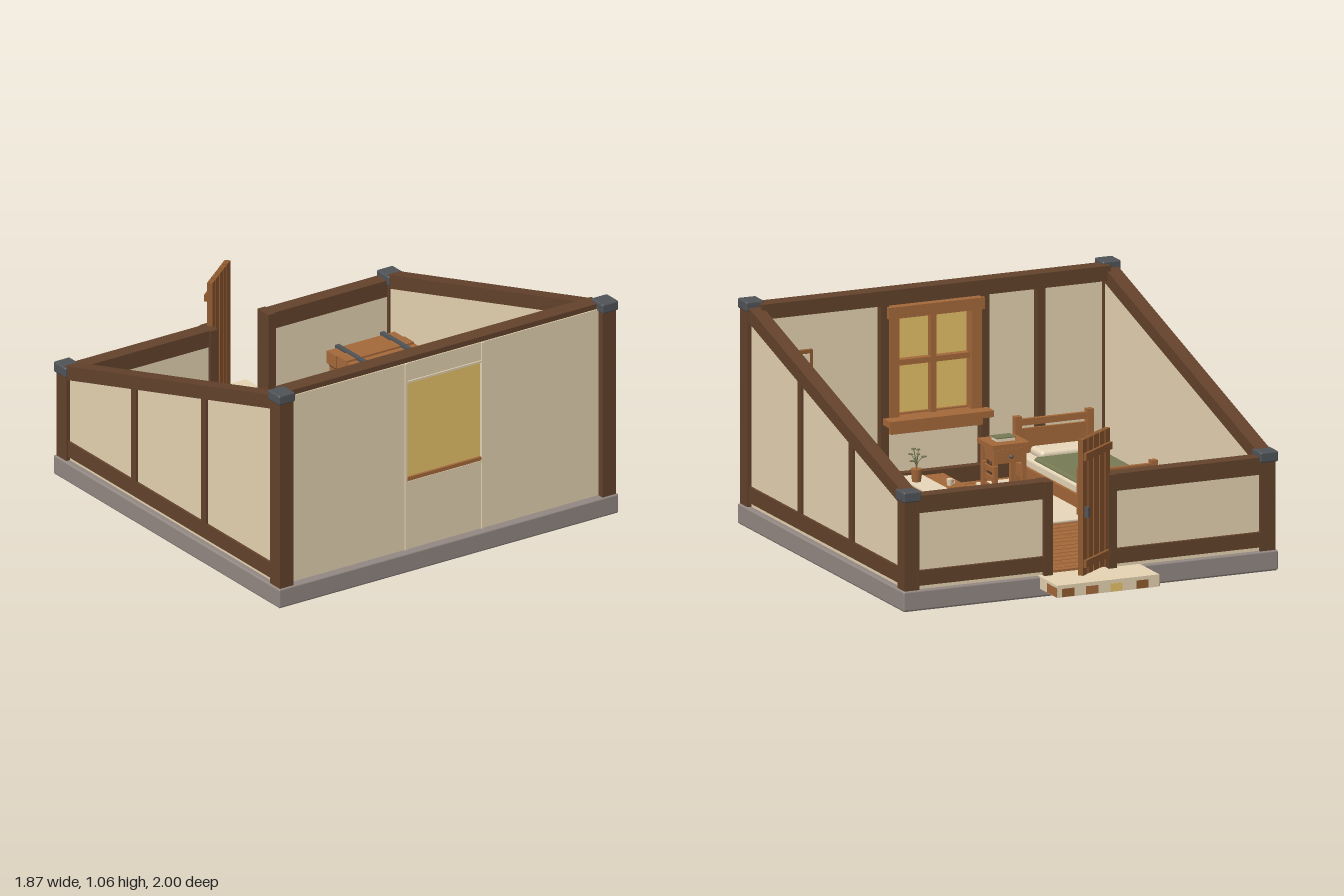
import * as THREE from 'three';
import { RoundedBoxGeometry } from 'three/addons/geometries/RoundedBoxGeometry.js';

const mat = (name, color, side = THREE.FrontSide) => {
  const m = new THREE.MeshStandardMaterial({ color, side });
  m.name = name;
  return m;
};

export function createModel() {
  const root = new THREE.Group();
  root.name = 'cottage';
  const beam = mat('dark timber', 0x63422c), wood = mat('warm wood', 0xa4683a);
  const plaster = mat('plaster', 0xe5d3b2), stone = mat('stone', 0x938882);
  const metal = mat('dark iron', 0x505357), green = mat('moss green', 0x777a54, THREE.DoubleSide);
  const glass = mat('amber glass', 0xe6c168), under = mat('underside', 0x76736d);
  const doorWood = mat('door wood', 0x8f5a30), linen = mat('linen', 0xead9bb);

  const group = (name, parent = root) => {
    const g = new THREE.Group();
    g.name = name;
    parent.add(g);
    return g;
  };
  const add = (name, geo, m, parent = root, x = 0, y = 0, z = 0) => {
    const o = new THREE.Mesh(geo, m);
    o.name = name;
    o.position.set(x, y, z);
    parent.add(o);
    return o;
  };
  // Box given by its limits; r > 0 rounds the edges
  const box = (name, m, x0, x1, y0, y1, z0, z1, parent = root, r = 0) => {
    const s = [x1 - x0, y1 - y0, z1 - z0];
    const geo = r ? new RoundedBoxGeometry(...s, 2, r) : new THREE.BoxGeometry(...s);
    return add(name, geo, m, parent, (x0 + x1) / 2, (y0 + y1) / 2, (z0 + z1) / 2);
  };
  // Slab across x from a profile of [z, y] points
  const slab = (name, m, pts, x0, x1) => {
    const geo = new THREE.ExtrudeGeometry(new THREE.Shape(pts.map(p => new THREE.Vector2(...p))),
      { depth: x1 - x0, bevelEnabled: false });
    return add(name, geo.rotateY(-Math.PI / 2), m, root, x1);
  };

  // Foundation
  box('foundation', stone, -0.935, 0.935, 0.002, 0.095, -0.81, 0.998, root, 0.008);
  box('foundationUnderside', under, -0.928, 0.928, 0, 0.004, -0.803, 0.991);

  // Plank floor, joints staggered row by row
  const floor = group('floor');
  box('subfloor', beam, -0.87, 0.87, 0.09, 0.1, -0.76, 0.93, floor);
  box('threshold', wood, -0.09, 0.19, 0.096, 0.108, -0.77, -0.736, floor);
  for (let i = 0; i < 27; i++) {
    const z = -0.73 + i * 0.0605;
    const start = i % 2 ? -0.89 : -1.13;
    for (let x = start; x < 0.86; x += 0.48)
      box('floorPlank', wood, Math.max(x, -0.86) + 0.002, Math.min(x + 0.478, 0.86), 0.1, 0.108, z, z + 0.052, floor);
  }

  // Corner posts with iron caps, side walls plastered over on the inside
  const top = z => 1.03 - 0.285 * (0.91 - z);
  for (const s of [-1, 1]) {
    const span = (a, b) => s > 0 ? [a, b] : [-b, -a];
    const [p0, p1] = span(0.85, 0.925), [c0, c1] = span(0.845, 0.935);
    box('frontPost', beam, p0, p1, 0.09, 1.02, 0.91, 0.99);
    box('backPost', beam, p0, p1, 0.09, 0.52, -0.8, -0.72);
    box('frontCap', metal, c0, c1, 1.01, 1.057, 0.902, 0.998, root, 0.008);
    box('backCap', metal, c0, c1, 0.51, 0.56, -0.812, -0.715, root, 0.008);
    const [w0, w1] = span(0.859, 0.905);
    slab('sidePanel', plaster, [[-0.75, 0.092], [0.93, 0.092], [0.93, top(0.93) - 0.03], [-0.75, top(-0.75) - 0.03]], w0, w1);
    const [b0, b1] = span(0.853, 0.922), [t0, t1] = span(0.885, 0.917);
    slab('slopedBeam', beam, [[-0.74, top(-0.74) - 0.068], [0.93, top(0.93) - 0.068], [0.93, top(0.93)], [-0.74, top(-0.74)]], b0, b1);
    box('sideSill', beam, t0, t1 + 0, 0.115, 0.19, -0.73, 0.92);
    for (const z of [0.365, -0.195])
      box('sideStud', beam, t0, t1, 0.15, top(z) - 0.04, z - 0.021, z + 0.021);
  }

  // Front wall with slim battens beside the window bay
  box('frontBeam', beam, -0.87, 0.87, 0.975, 1.045, 0.87, 0.95);
  box('frontSill', beam, -0.86, 0.86, 0.108, 0.18, 0.875, 0.94);
  for (const s of [-1, 1]) {
    box('frontPanel', plaster, s > 0 ? 0.21 : -0.852, s > 0 ? 0.852 : -0.205, 0.092, 1.02, 0.925, 0.956);
    box('windowBatten', plaster, s * 0.21 - 0.006, s * 0.21 + 0.006, 0.092, 1.02, 0.92, 0.963);
    box('windowStud', beam, s * 0.25 - 0.02, s * 0.25 + 0.02, 0.11, 0.98, 0.885, 0.925);
  }
  box('frontStud', beam, -0.55, -0.51, 0.11, 0.98, 0.885, 0.925);
  box('panelAboveWindow', plaster, -0.205, 0.21, 0.922, 1.02, 0.92, 0.956);
  box('panelBelowWindow', plaster, -0.205, 0.21, 0.092, 0.43, 0.92, 0.956);
  for (const y of [0.922, 0.424])
    box('windowBatten', plaster, -0.205, 0.21, y, y + 0.01, 0.94, 0.962);

  // Window
  const win = group('window');
  box('glass', glass, -0.205, 0.213, 0.445, 0.922, 0.938, 0.947, win);
  box('outerSill', wood, -0.204, 0.204, 0.434, 0.452, 0.92, 0.959, win);
  for (const x of [-0.205, 0.205]) box('jamb', wood, x - 0.025, x + 0.025, 0.43, 0.95, 0.88, 0.936, win);
  box('mullion', wood, -0.013, 0.013, 0.44, 0.94, 0.9, 0.936, win);
  box('crossbar', wood, -0.2, 0.2, 0.68, 0.706, 0.9, 0.936, win);
  box('innerHead', wood, -0.24, 0.24, 0.91, 0.965, 0.865, 0.936, win);
  box('innerSill', wood, -0.26, 0.26, 0.415, 0.445, 0.81, 0.936, win);
  box('sillApron', wood, -0.23, 0.23, 0.37, 0.415, 0.865, 0.925, win);

  // Back wall in two halves around the doorway
  for (const [x0, x1, j] of [[-0.86, -0.09, -0.11], [0.19, 0.86, 0.21]]) {
    box('backPanel', plaster, x0, x1, 0.092, 0.48, -0.785, -0.736);
    box('backBeam', beam, x0, x1, 0.455, 0.535, -0.802, -0.73);
    box('backSill', beam, x0, x1, 0.115, 0.185, -0.802, -0.76);
    box('doorJamb', beam, j - 0.021, j + 0.021, 0.09, 0.535, -0.81, -0.722);
  }

  // Open door of spaced planks, built along +x from its hinge
  const door = group('door');
  door.position.set(-0.1, 0, -0.772);
  door.rotation.y = 0.66;
  for (let i = 0; i < 5; i++)
    box('doorPlank', doorWood, i * 0.055, i * 0.055 + 0.046, 0.115, 0.75, -0.013, 0.013, door);
  for (const y of [0.17, 0.67]) box('doorBatten', doorWood, 0.004, 0.262, y - 0.017, y + 0.017, -0.028, -0.012, door);
  box('doorHandle', metal, 0.236, 0.252, 0.385, 0.435, -0.034, -0.012, door);

  // Doorstep with worn patches
  const step = group('doorstep');
  box('stepSlab', plaster, -0.255, 0.255, 0.04, 0.097, -0.998, -0.768, step);
  for (const s of [-1, 1]) box('stepPatch', wood, s * 0.255 - 0.002, s * 0.255 + 0.002, 0.042, 0.085, -0.998, -0.89, step);
  for (const [x, m] of [[-0.2, doorWood], [-0.07, glass], [0.05, wood], [0.17, doorWood]])
    box('stepPatch', m, x, x + 0.06, 0.042, 0.08, -1, -0.996, step);

  // Rug and bed
  box('rug', linen, -0.72, -0.165, 0.107, 0.12, 0.005, 0.81, root, 0.005);
  const bed = group('bed');
  for (const [z, h] of [[0.065, 0.34], [0.762, 0.42]]) {
    for (const x of [-0.712, -0.353]) box('bedPost', wood, x - 0.016, x + 0.016, 0.108, h, z - 0.016, z + 0.016, bed);
    box('bedRail', wood, -0.71, -0.355, h - 0.045, h - 0.015, z - 0.01, z + 0.01, bed);
    box('bedBoard', wood, -0.71, -0.355, 0.16, h - 0.06, z - 0.007, z + 0.007, bed);
  }
  for (const x of [-0.719, -0.346]) box('bedSide', wood, x - 0.007, x + 0.007, 0.15, 0.21, 0.07, 0.76, bed);
  box('mattress', linen, -0.712, -0.353, 0.18, 0.25, 0.075, 0.75, bed, 0.015);
  box('blanket', green, -0.708, -0.362, 0.2, 0.265, 0.095, 0.61, bed, 0.018);
  box('pillow', linen, -0.67, -0.4, 0.24, 0.285, 0.605, 0.735, bed, 0.02);

  // Four-legged table helper
  const table = (name, x0, x1, z0, z1, h, leg) => {
    const g = group(name);
    box('tableTop', wood, x0, x1, h - 0.022, h, z0, z1, g);
    box('apron', wood, x0 + 0.02, x1 - 0.02, h - 0.055, h - 0.022, z0 + 0.02, z1 - 0.02, g);
    for (const x of [x0 + 0.012, x1 - 0.012 - leg]) for (const z of [z0 + 0.012, z1 - 0.012 - leg])
      box('leg', wood, x, x + leg, 0.106, h - 0.02, z, z + leg, g);
    return g;
  };

  // Dining table with runner, cup and saucer
  const dining = table('diningTable', 0.305, 0.645, -0.13, 0.13, 0.37, 0.026);
  box('runner', linen, 0.415, 0.535, 0.369, 0.376, -0.165, 0.137, dining);
  for (const z of [-0.165, 0.132]) box('runnerDrop', linen, 0.415, 0.535, 0.32, 0.374, z, z + 0.006, dining);
  add('cup', new THREE.CylinderGeometry(0.015, 0.012, 0.03, 12), linen, dining, 0.375, 0.386, -0.09);
  add('cupHandle', new THREE.TorusGeometry(0.009, 0.003, 5, 10), linen, dining, 0.358, 0.386, -0.09);

  // Potted plant with curved stems and leaves
  const plant = group('pottedPlant', dining);
  plant.position.set(0.49, 0.375, 0.02);
  add('pot', new THREE.CylinderGeometry(0.028, 0.02, 0.06, 12), wood, plant, 0, 0.03, 0);
  for (let i = 0; i < 7; i++) {
    const a = i * 2.4, r = 0.015 + 0.005 * i, h = 0.155 - 0.01 * i, c = Math.cos(a), s = Math.sin(a);
    const curve = new THREE.QuadraticBezierCurve3(new THREE.Vector3(0, 0.055, 0),
      new THREE.Vector3(0, 0.1, 0), new THREE.Vector3(c * r, h, s * r));
    add('stem', new THREE.TubeGeometry(curve, 5, 0.0025, 5), green, plant);
    add('leaf', new THREE.SphereGeometry(0.011, 6, 4).scale(1.3, 0.4, 0.8), green, plant, c * r, h, s * r).rotation.y = -a;
  }

  // Two chairs facing the table
  for (const [x, turn] of [[0.2, 0], [0.755, Math.PI]]) {
    const chair = group('chair');
    chair.position.set(x, 0, -0.015);
    chair.rotation.y = turn;
    box('seat', wood, -0.068, 0.07, 0.245, 0.265, -0.07, 0.07, chair);
    for (const z of [-0.06, 0.06]) {
      box('backLeg', wood, -0.07, -0.052, 0.106, 0.43, z - 0.009, z + 0.009, chair);
      box('frontLeg', wood, 0.046, 0.064, 0.106, 0.25, z - 0.009, z + 0.009, chair);
      box('stretcher', wood, -0.06, 0.055, 0.165, 0.178, z - 0.005, z + 0.005, chair);
    }
    for (const y of [0.31, 0.353, 0.396]) box('backSlat', wood, -0.066, -0.056, y, y + 0.024, -0.06, 0.06, chair);
  }

  // Trunk with iron straps
  const trunk = group('trunk');
  box('trunkBody', wood, 0.42, 0.778, 0.108, 0.285, -0.57, -0.35, trunk);
  box('trunkSeam', beam, 0.418, 0.78, 0.282, 0.345, -0.572, -0.348, trunk);
  for (let i = 0; i < 3; i++)
    box('lidPlank', wood, 0.412, 0.785, 0.292, i === 1 ? 0.36 : 0.354, -0.58 + i * 0.081, -0.504 + i * 0.081, trunk);
  for (const x of [0.475, 0.722]) box('strap', metal, x - 0.011, x + 0.011, 0.108, 0.367, -0.588, -0.338, trunk);
  box('latch', metal, 0.585, 0.612, 0.255, 0.31, -0.596, -0.57, trunk);

  // Nightstand with drawer and book
  const night = table('nightstand', -0.33, -0.145, 0.575, 0.745, 0.345, 0.02);
  box('drawer', wood, -0.305, -0.17, 0.255, 0.32, 0.583, 0.72, night);
  add('knob', new THREE.SphereGeometry(0.01, 8, 6), metal, night, -0.237, 0.287, 0.572);
  box('pages', linen, -0.283, -0.193, 0.345, 0.359, 0.632, 0.694, night);
  box('bookCover', green, -0.285, -0.19, 0.359, 0.364, 0.63, 0.696, night);

  // Console with radio, jar and a low shelf
  const con = table('console', 0.505, 0.79, 0.715, 0.855, 0.325, 0.022);
  box('shelf', wood, 0.52, 0.775, 0.165, 0.18, 0.725, 0.845, con);
  box('shelfBox', green, 0.53, 0.595, 0.18, 0.265, 0.735, 0.835, con);
  box('radioBody', metal, 0.58, 0.755, 0.325, 0.42, 0.735, 0.81, con);
  box('radioLid', wood, 0.575, 0.76, 0.42, 0.432, 0.73, 0.815, con);
  box('speaker', beam, 0.59, 0.66, 0.34, 0.405, 0.731, 0.736, con);
  for (const x of [0.69, 0.725])
    add('dial', new THREE.CylinderGeometry(0.011, 0.011, 0.01, 10).rotateX(Math.PI / 2), stone, con, x, 0.36, 0.731);
  add('aerial', new THREE.CylinderGeometry(0.0025, 0.0025, 0.12, 5), metal, con, 0.7, 0.445, 0.8).rotation.z = 1.4;
  add('jar', new THREE.CylinderGeometry(0.028, 0.024, 0.05, 14), green, con, 0.545, 0.35, 0.785);
  add('jarLid', new THREE.CylinderGeometry(0.029, 0.029, 0.01, 14), wood, con, 0.545, 0.38, 0.785);

  // Framed picture on the inside of the front wall
  const pic = group('picture');
  box('pictureFrame', doorWood, 0.6, 0.75, 0.63, 0.8, 0.905, 0.926, pic);
  box('pictureSky', linen, 0.617, 0.733, 0.647, 0.783, 0.901, 0.906, pic);
  const hills = new THREE.Shape([[0.733, 0.647], [0.617, 0.647], [0.617, 0.69], [0.733, 0.775]].map(p => new THREE.Vector2(...p)));
  add('pictureHills', new THREE.ShapeGeometry(hills), green, pic, 0, 0, 0.9);
  return root;
}
